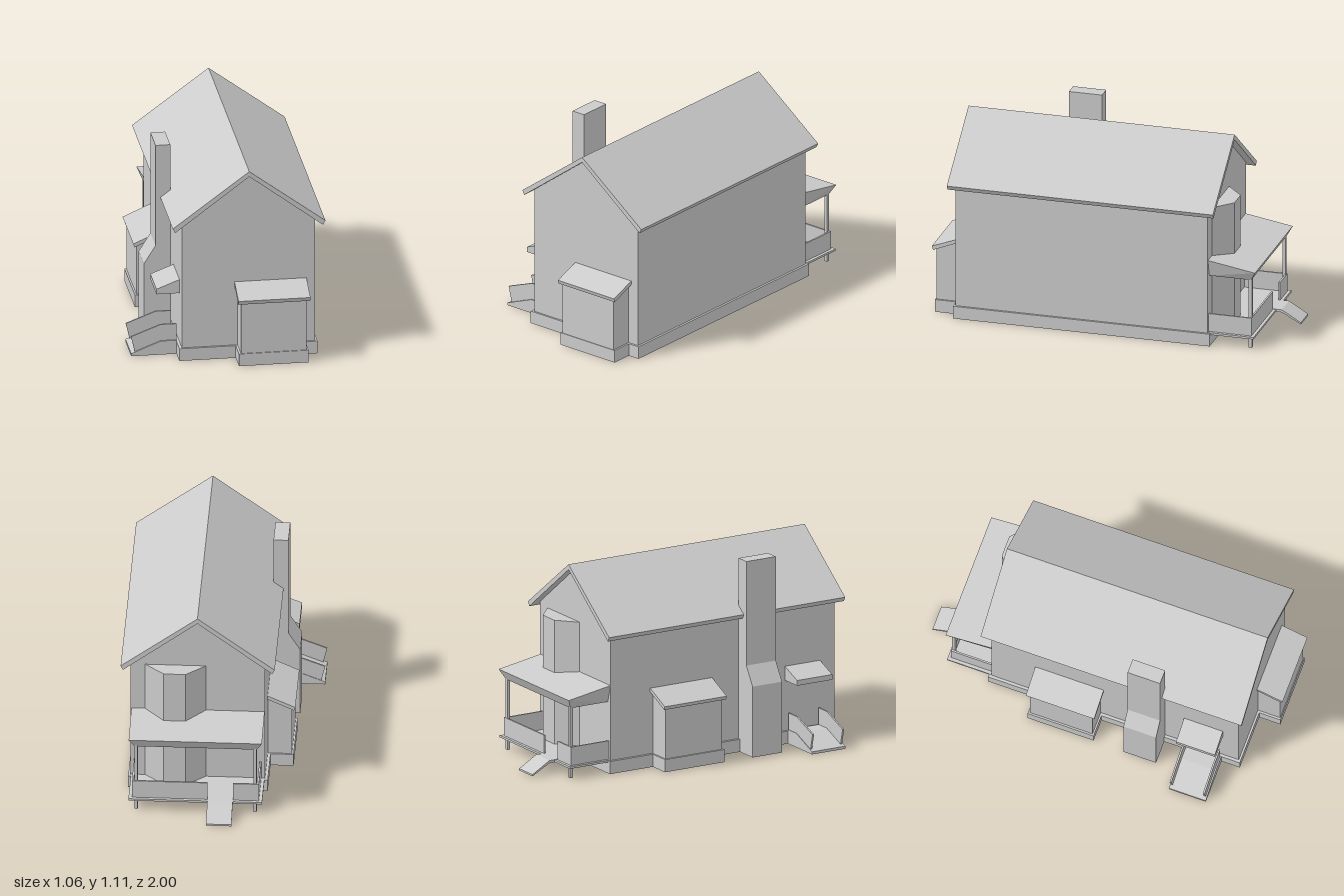
import * as THREE from 'three';

const solid = new THREE.MeshStandardMaterial({ color: 0xcccccc, flatShading: true });
const thin = new THREE.MeshStandardMaterial({ color: 0xcccccc, flatShading: true, side: THREE.DoubleSide });

function extrude(points, depth) {
  const shape = new THREE.Shape(points.map(([u, v]) => new THREE.Vector2(u, v)));
  return new THREE.ExtrudeGeometry(shape, { depth, bevelEnabled: false });
}

// Keeps only the triangles whose normal passes the test on its y component
function keepFaces(geometry, test) {
  const source = geometry.index ? geometry.toNonIndexed() : geometry;
  const { position, normal } = source.attributes;
  const kept = [];
  for (let i = 0; i < position.count; i += 3) {
    if (test(normal.getY(i))) kept.push(i, i + 1, i + 2);
  }
  source.clearGroups();
  return source.setIndex(kept);
}
const openBelow = (geometry) => keepFaces(geometry, (ny) => ny > -0.9);

// Box given by its extents
const boxGeo = (x0, x1, y0, y1, z0, z1) =>
  new THREE.BoxGeometry(x1 - x0, y1 - y0, z1 - z0)
    .translate((x0 + x1) / 2, (y0 + y1) / 2, (z0 + z1) / 2);
// Profile of (x, y) points drawn out along z
const prismZ = (points, z0, z1) => extrude(points, z1 - z0).translate(0, 0, z0);
// Profile of (z, y) points drawn out along x
const prismX = (points, x0, x1) => extrude(points, x1 - x0).rotateY(-Math.PI / 2).translate(x1, 0, 0);
// Plan of (x, z) points drawn up along y
const prismY = (points, y0, y1) =>
  extrude(points.map(([x, z]) => [x, -z]), y1 - y0).rotateX(-Math.PI / 2).translate(0, y0, 0);

const rectangle = (x0, x1, z0, z1) =>
  [[x0, -z0], [x1, -z0], [x1, -z1], [x0, -z1]].map(([x, y]) => new THREE.Vector2(x, y));

export function createModel() {
  const house = new THREE.Group();
  house.name = 'house';

  const add = (name, geometry, material = solid) => {
    const mesh = new THREE.Mesh(geometry, material);
    mesh.name = name;
    house.add(mesh);
  };
  const addShell = (name, geometry) => add(name, openBelow(geometry), thin);

  // Foundation skirt, open inside, with a narrow ledge up to the walls
  const baseTop = 0.072;
  const addBase = (name, outer, inner) => {
    const [x0, x1, z0, z1] = outer;
    add(name, keepFaces(boxGeo(x0, x1, 0, baseTop, z0, z1), (ny) => Math.abs(ny) < 0.9), thin);
    const ledge = new THREE.Shape(rectangle(...outer));
    ledge.holes.push(new THREE.Path(rectangle(...inner)));
    add(name + 'Ledge', new THREE.ShapeGeometry(ledge).rotateX(-Math.PI / 2).translate(0, baseTop, 0), thin);
  };

  // Main block with gables
  const ridge = 0.107;
  addBase('foundation', [-0.278, 0.49, -0.61, 0.862], [-0.262, 0.477, -0.595, 0.85]);
  addShell('walls', prismZ([
    [-0.262, baseTop], [0.477, baseTop], [0.477, 0.808], [ridge, 1.082], [-0.262, 0.808],
  ], -0.595, 0.85));
  add('mainRoof', prismZ([
    [ridge, 1.11], [-0.318, 0.795], [-0.305, 0.77], [ridge, 1.08], [0.517, 0.77], [0.53, 0.795],
  ], -0.64, 0.885));

  // Front lean-to
  addBase('frontLeanToBase', [0.035, 0.422, 0.862, 0.985], [0.047, 0.411, 0.863, 0.98]);
  addShell('frontLeanToWalls', prismX([
    [0.851, baseTop], [0.98, baseTop], [0.98, 0.382], [0.851, 0.43],
  ], 0.047, 0.411));
  add('frontLeanToRoof', prismX([[0.85, 0.447], [1, 0.39], [0.993, 0.368], [0.85, 0.425]], 0.03, 0.43));

  // Side lean-to
  addBase('sideLeanToBase', [-0.405, -0.278, -0.333, 0.053], [-0.395, -0.279, -0.323, 0.043]);
  addShell('sideLeanToWalls', prismZ([
    [-0.263, baseTop], [-0.263, 0.43], [-0.395, 0.37], [-0.395, baseTop],
  ], -0.323, 0.043));
  add('sideLeanToRoof', prismZ([[-0.262, 0.447], [-0.415, 0.378], [-0.408, 0.358], [-0.262, 0.425]], -0.34, 0.06));

  // Chimney with a sloped shoulder
  addShell('chimney', prismZ([
    [-0.41, 0], [-0.263, 0], [-0.263, 1.105], [-0.345, 1.105], [-0.345, 0.51], [-0.41, 0.405],
  ], 0.23, 0.42));

  // Side entrance: awning, ramp and its parapets
  add('sideAwning', prismZ([[-0.262, 0.36], [-0.262, 0.44], [-0.39, 0.39], [-0.39, 0.36]], 0.53, 0.757));
  add('sideRamp', prismZ([[-0.53, 0], [-0.278, 0], [-0.278, 0.08], [-0.365, 0.08], [-0.53, 0.015]], 0.54, 0.755));
  for (const z of [0.543, 0.737]) {
    add('sideRampParapet', prismZ([
      [-0.508, 0.02], [-0.365, 0.075], [-0.278, 0.075], [-0.278, 0.175], [-0.365, 0.175], [-0.53, 0.112],
    ], z, z + 0.01));
  }

  // Rear bay window
  add('bayWindow', prismY([[0.057, -0.59], [0.17, -0.693], [0.29, -0.693], [0.403, -0.59]], baseTop, 0.783));

  // Rear porch: deck, posts and solid railings
  add('porchDeck', boxGeo(-0.26, 0.475, 0.063, 0.075, -0.857, -0.595));
  for (const x of [-0.23, 0.425]) add('porchPost', boxGeo(x, x + 0.018, 0, 0.405, -0.838, -0.82));
  for (const x of [-0.242, 0.447]) add('porchSideRailing', boxGeo(x, x + 0.01, 0.075, 0.18, -0.84, -0.595));
  for (const [x0, x1] of [[-0.242, -0.1], [0.04, 0.457]]) {
    add('porchBackRailing', boxGeo(x0, x1, 0.075, 0.18, -0.84, -0.83));
  }

  // Porch roof, its ends leaning inward towards the underside
  const porchRoof = prismX([[-0.595, 0.4], [-0.595, 0.5], [-0.865, 0.455], [-0.835, 0.4]], -0.26, 0.473);
  const corners = porchRoof.attributes.position;
  for (let i = 0; i < corners.count; i++) {
    if (corners.getY(i) < 0.41) corners.setX(i, ridge + (corners.getX(i) - ridge) * 0.92);
  }
  porchRoof.computeVertexNormals();
  add('porchRoof', porchRoof);

  // Ramp from the porch down to the ground
  add('porchRamp', prismX([
    [-0.84, 0.077], [-0.89, 0.077], [-1, 0.013], [-1, 0.003], [-0.89, 0.062], [-0.84, 0.062],
  ], -0.1, 0.04));

  return house;
}
